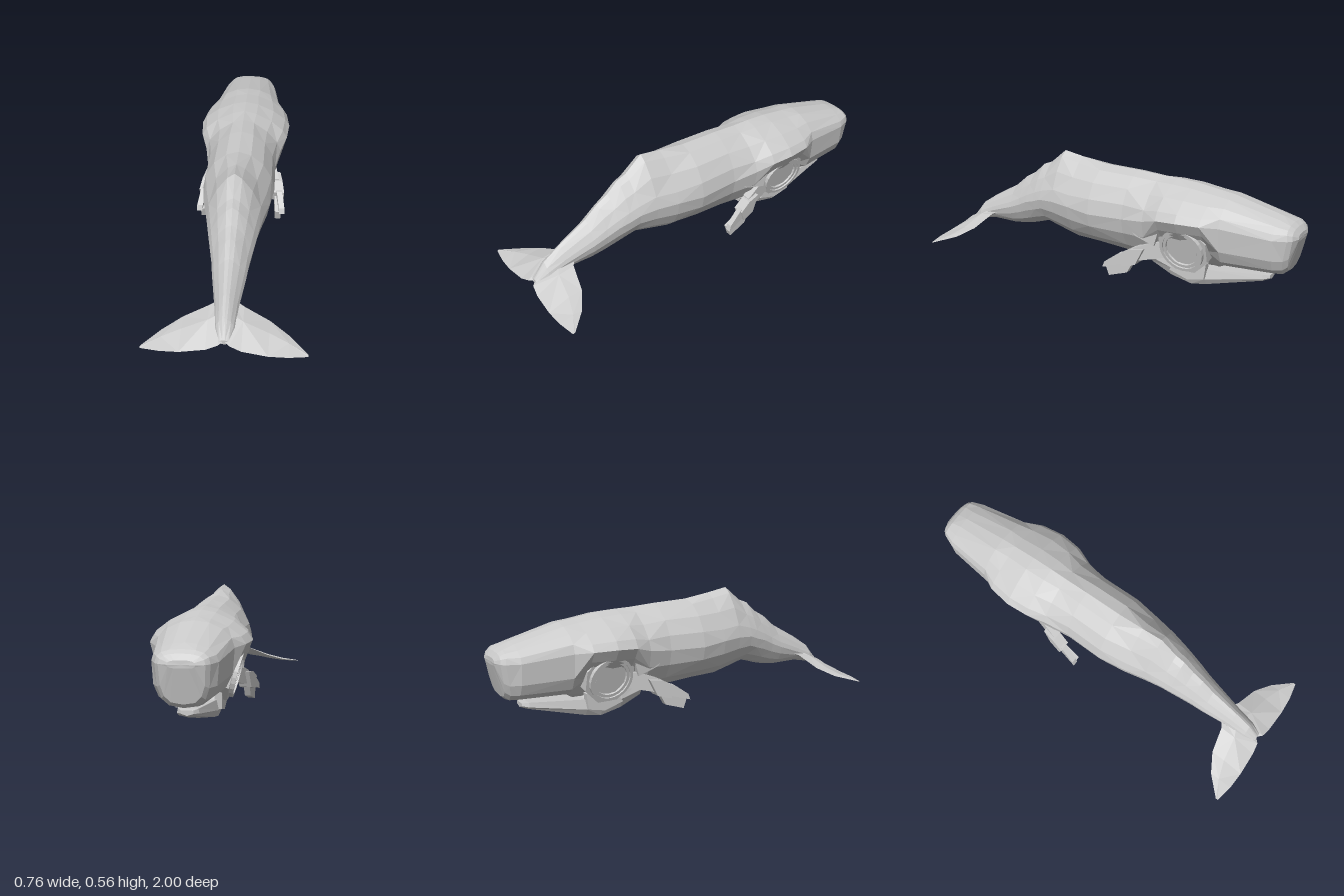
import * as THREE from 'three';

const material = new THREE.MeshStandardMaterial({
  color: 0xcccccc, flatShading: true, side: THREE.DoubleSide,
});

function named(geometry, name) {
  const mesh = new THREE.Mesh(geometry, material);
  mesh.name = name;
  return mesh;
}

// Skin closed rings of equal point count, cap both ends, face outward
function loft(rings) {
  const n = rings[0].length;
  const pos = rings.flat(2);
  const index = [];
  for (let i = 0; i < rings.length - 1; i++) {
    for (let j = 0; j < n; j++) {
      const a = i * n + j, b = i * n + (j + 1) % n;
      if ((i + j) % 2) index.push(a, b, b + n, a, b + n, a + n);
      else index.push(a, b, a + n, b, b + n, a + n);
    }
  }
  [0, rings.length - 1].forEach((r, end) => {
    const c = pos.length / 3;
    for (let k = 0; k < 3; k++) pos.push(rings[r].reduce((s, p) => s + p[k] / n, 0));
    for (let j = 0; j < n; j++) {
      const a = r * n + j, b = r * n + (j + 1) % n;
      index.push(...(end ? [a, b, c] : [b, a, c]));
    }
  });
  const v = i => new THREE.Vector3().fromArray(pos, i * 3);
  let volume = 0;
  for (let i = 0; i < index.length; i += 3) {
    volume += v(index[i]).dot(v(index[i + 1]).cross(v(index[i + 2])));
  }
  if (volume < 0) index.reverse();
  const g = new THREE.BufferGeometry();
  g.setAttribute('position', new THREE.Float32BufferAttribute(pos, 3));
  g.setIndex(index);
  g.computeVertexNormals();
  return g;
}

// Body stations: z, top, bottom, half width, height of the widest point
const bodySections = [
  [-1.00, 0.365, 0.33, 0.06, 0.345],
  [-0.985, 0.39, 0.17, 0.10, 0.345],
  [-0.965, 0.405, 0.15, 0.118, 0.345],
  [-0.90, 0.425, 0.15, 0.145, 0.345],
  [-0.65, 0.485, 0.14, 0.18, 0.365],
  [-0.57, 0.495, 0.09, 0.222, 0.37],
  [-0.45, 0.51, 0.07, 0.24, 0.37],
  [-0.34, 0.515, 0.07, 0.23, 0.36],
  [-0.25, 0.515, 0.075, 0.20, 0.33],
  [-0.12, 0.52, 0.085, 0.178, 0.31],
  [0.08, 0.522, 0.10, 0.182, 0.30],
  [0.22, 0.54, 0.10, 0.165, 0.31],
  [0.33, 0.557, 0.125, 0.142, 0.31],
  [0.42, 0.48, 0.148, 0.125, 0.30],
  [0.47, 0.46, 0.135, 0.115, 0.28],
  [0.53, 0.405, 0.115, 0.103, 0.26],
  [0.59, 0.37, 0.10, 0.09, 0.23],
  [0.66, 0.31, 0.09, 0.08, 0.20],
  [0.81, 0.225, 0.09, 0.055, 0.145],
  [0.90, 0.165, 0.07, 0.045, 0.11],
  [0.96, 0.09, 0.065, 0.025, 0.078],
];

// Boxy head, sides cut in around the jaw joint, ridged back towards the tail
function bodyRing([z, top, bottom, w, mid]) {
  const collar = z > -0.6 && z < -0.33;
  const lower = collar ? 1.15 : z < -0.5 ? 3 : 1.8;
  const upper = z < -0.9 ? 2.6 : z < -0.6 ? 1.9 : z < -0.2 ? 1.5 : z < 0.15 ? 1.8 : 1.4;
  const ring = [];
  for (let i = 0; i < 16; i++) {
    const a = i / 16 * Math.PI * 2, c = Math.cos(a), s = Math.sin(a);
    const e = 2 / (s >= 0 ? upper : lower);
    const x = Math.sign(c) * w * Math.abs(c) ** e;
    const y = mid + Math.sign(s) * (s >= 0 ? top - mid : mid - bottom) * Math.abs(s) ** e;
    // the blunt snout slopes back above and below its tip
    ring.push([x, y, z < -0.95 ? z + Math.abs(y - mid) * 0.16 : z]);
  }
  return ring;
}

// Lower jaw: z, half width, top, bottom
const jawSections = [
  [-0.86, 0.03, 0.122, 0.098], [-0.83, 0.05, 0.125, 0.085], [-0.55, 0.095, 0.105, 0.015],
  [-0.47, 0.103, 0.13, 0.002], [-0.36, 0.103, 0.15, 0.025], [-0.24, 0.085, 0.15, 0.068],
];
function jawRing([z, w, top, bottom]) {
  const y = bottom + (top - bottom) * 0.45;
  return [[w, y, z], [w * 0.9, top, z], [-w * 0.9, top, z], [-w, y, z],
    [-w * 0.8, bottom + 0.008, z], [0, bottom, z], [w * 0.8, bottom + 0.008, z]];
}

// Fluke: x, leading z and y, trailing z and y, half thickness
const flukeSections = [
  [0, 0.74, 0.15, 0.955, 0.08, 0.018], [0.025, 0.75, 0.15, 0.98, 0.075, 0.02],
  [0.08, 0.785, 0.137, 0.99, 0.055, 0.018], [0.20, 0.815, 0.085, 0.995, 0.038, 0.011],
  [0.29, 0.87, 0.052, 0.99, 0.033, 0.007], [0.378, 0.96, 0.03, 0.973, 0.028, 0.002],
];
function flukeRing([x, z0, y0, z1, y1, t]) {
  const z = z0 + (z1 - z0) * 0.4, y = y0 + (y1 - y0) * 0.4;
  return [[x, y0, z0], [x, y + t, z], [x, y1, z1], [x, y - t, z]];
}

// Plate outlined in z and y, thick in x, leaning outward towards the tail
function sidePlate(name, x0, thickness, lean, outline) {
  return named(loft([x0, x0 + thickness].map(x =>
    outline.map(([z, y]) => [x + (z + 0.35) * lean, y, z]))), name);
}

// Eight-sided disc facing sideways
function jointDisc(name, radius, x0, x1) {
  const g = new THREE.CylinderGeometry(radius, radius, x1 - x0, 8);
  g.rotateY(Math.PI / 8);
  g.rotateZ(-Math.PI / 2);
  g.translate((x0 + x1) / 2, 0, 0);
  return named(g, name);
}

// Stepped rim around the joint
function jointRim(outer, inner, depth) {
  const s = new THREE.Shape().absarc(0, 0, outer, 0, Math.PI * 2);
  s.holes.push(new THREE.Path().absarc(0, 0, inner, 0, Math.PI * 2, true));
  const g = new THREE.ExtrudeGeometry(s, { depth, bevelEnabled: false, curveSegments: 12 });
  g.rotateY(Math.PI / 2);
  return named(g, 'jointRim');
}

// Jaw joint, tilted so that its top leans out under the collar
function createJoint() {
  const joint = new THREE.Group();
  joint.name = 'jawJoint';
  joint.add(jointDisc('jointBase', 0.138, -0.08, 0), jointDisc('jointHub', 0.085, -0.02, 0.004),
    jointRim(0.115, 0.1, 0.02), jointRim(0.1, 0.085, 0.012));
  joint.position.set(0.158, 0.215, -0.455);
  joint.rotation.z = -0.25;
  return joint;
}

function createSide(name) {
  const side = new THREE.Group();
  side.name = name;
  side.add(
    named(loft(flukeSections.map(flukeRing)), 'fluke'),
    createJoint(),
    // link from the joint down to the jaw
    sidePlate('jawLink', 0.075, 0.035, 0,
      [[-0.56, 0.14], [-0.40, 0.13], [-0.36, 0.07], [-0.46, 0.04], [-0.55, 0.06]]),
    // flipper: arm, shoulder block and two overlapping blades
    sidePlate('flipperArm', 0.115, 0.045, 0.25,
      [[-0.37, 0.23], [-0.31, 0.225], [-0.20, 0.18], [-0.22, 0.115], [-0.36, 0.15]]),
    sidePlate('flipperShoulder', 0.125, 0.06, 0.2,
      [[-0.26, 0.185], [-0.19, 0.175], [-0.13, 0.14], [-0.15, 0.08], [-0.22, 0.10]]),
    sidePlate('flipperUpperBlade', 0.145, 0.03, 0.2,
      [[-0.20, 0.16], [-0.13, 0.145], [-0.055, 0.09], [-0.045, 0.06], [-0.18, 0.10]]),
    sidePlate('flipperLowerBlade', 0.155, 0.03, 0.1,
      [[-0.21, 0.12], [-0.15, 0.115], [-0.05, 0.07], [-0.07, 0.012], [-0.17, 0.045]]),
    // angled cover behind the joint
    sidePlate('shoulderCover', 0.145, 0.04, -0.05,
      [[-0.34, 0.31], [-0.14, 0.30], [-0.20, 0.24], [-0.31, 0.21]]),
  );
  return side;
}

export function createModel() {
  const whale = new THREE.Group();
  whale.name = 'whale';
  whale.add(named(loft(bodySections.map(bodyRing)), 'body'));
  whale.add(named(loft(jawSections.map(jawRing)), 'lowerJaw'));
  const left = createSide('leftSide');
  const right = createSide('rightSide');
  right.scale.x = -1;
  whale.add(left, right);
  return whale;
}
